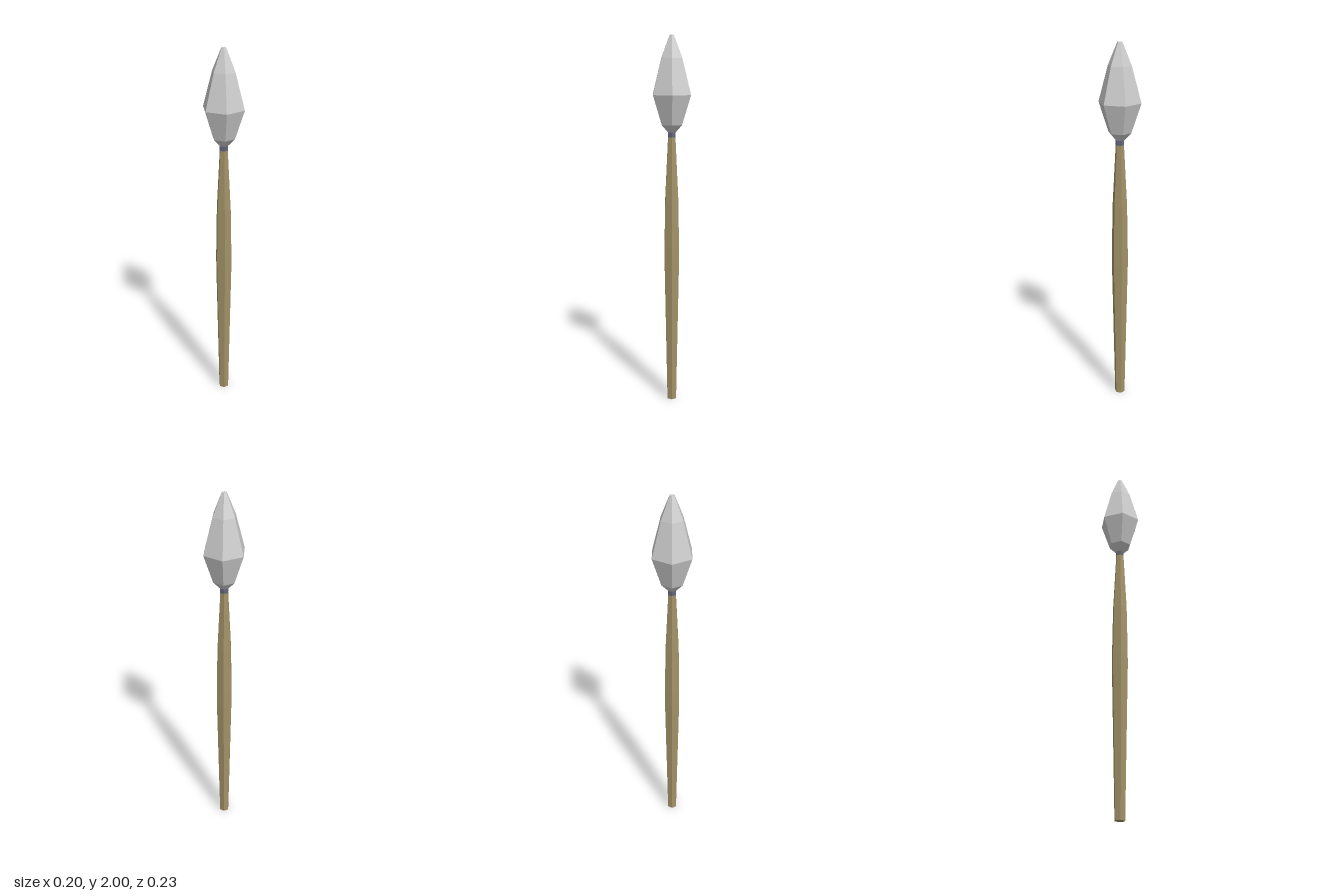
import * as THREE from 'three';

const SIDES = 6;

// Six-sided faceted solid from [radius, height] pairs, with a corner facing +z
function hexLathe(name, color, profile) {
  const points = profile.map(([r, y]) => new THREE.Vector2(r, y));
  const material = new THREE.MeshStandardMaterial({ color, flatShading: true });
  const mesh = new THREE.Mesh(new THREE.LatheGeometry(points, SIDES), material);
  mesh.name = name;
  return mesh;
}

export function createModel() {
  const spear = new THREE.Group();
  spear.name = 'spear';

  // Wooden shaft, thickest just below the middle
  spear.add(hexLathe('shaft', 0xa39268, [
    [0, 0], [0.028, 0], [0.045, 0.8], [0.045, 0.88], [0.04, 1.15], [0.022, 1.485], [0, 1.485],
  ]));

  // Dark binding between shaft and head
  spear.add(hexLathe('collar', 0x62667a, [
    [0, 1.48], [0.023, 1.48], [0.023, 1.51], [0, 1.51],
  ]));

  // Faceted head with a small flat tip
  spear.add(hexLathe('head', 0xcccccc, [
    [0, 1.505], [0.023, 1.505], [0.061, 1.545], [0.113, 1.7], [0.062, 1.885], [0.013, 2], [0, 2],
  ]));

  return spear;
}
